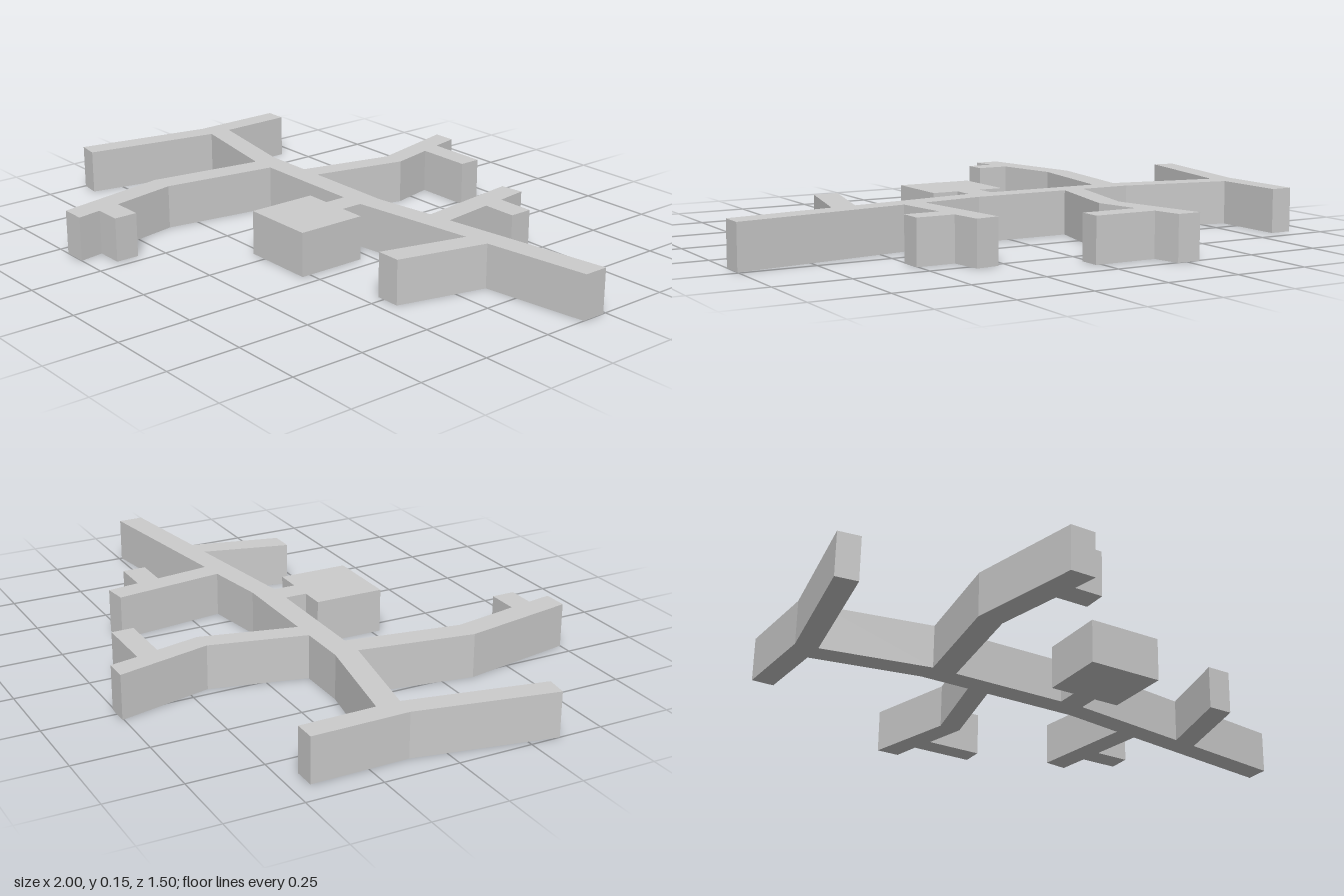
import * as THREE from 'three';

const HEIGHT = 0.15;

// Upright prism over a plan outline of [x, z] corners
function prism(name, outline, material) {
  const shape = new THREE.Shape(outline.map(([x, z]) => new THREE.Vector2(x, z)));
  const geometry = new THREE.ExtrudeGeometry(shape, { depth: HEIGHT, bevelEnabled: false });
  geometry.rotateX(Math.PI / 2);
  geometry.translate(0, HEIGHT, 0);
  const mesh = new THREE.Mesh(geometry, material);
  mesh.name = name;
  return mesh;
}

export function createModel() {
  const group = new THREE.Group();
  group.name = 'branchingCorridors';
  const material = new THREE.MeshStandardMaterial({ color: 0xcccccc, flatShading: true });

  // Parts meet edge to edge, so the tops and bottoms stay flush
  const parts = {
    // Main corridor across the whole width
    mainCorridor: [
      [-0.835, -0.185], [-0.465, -0.115], [0.115, -0.115], [0.33, -0.147], [0.41, -0.157],
      [1, -0.24], [1, -0.155], [0.635, -0.105], [0.55, -0.095], [0.11, -0.035],
      [-0.465, -0.035], [-0.835, -0.105],
    ],
    // Cross corridor at the right end
    endCorridor: [
      [-0.915, -0.44], [-0.84, -0.44], [-0.835, -0.185], [-0.835, -0.105],
      [-0.925, 0.36], [-1, 0.35], [-0.91, -0.115],
    ],
    // Bent corridor to the back, with its side stub
    backCorridor: [
      [-0.29, -0.115], [-0.215, -0.435], [-0.295, -0.755], [-0.215, -0.755],
      [-0.195, -0.66], [-0.175, -0.585], [-0.14, -0.435], [-0.215, -0.115],
    ],
    backStub: [[-0.195, -0.66], [0.02, -0.66], [0.02, -0.585], [-0.175, -0.585]],
    // Short corridor at the back left, with its side stub
    backLeftCorridor: [
      [0.33, -0.147], [0.28, -0.525], [0.36, -0.535], [0.375, -0.425], [0.385, -0.345], [0.41, -0.157],
    ],
    backLeftStub: [[0.375, -0.425], [0.505, -0.425], [0.505, -0.345], [0.385, -0.345]],
    // Slanted corridor at the front left
    frontLeftCorridor: [[0.55, -0.095], [0.635, -0.105], [0.56, 0.2], [0.475, 0.2]],
    // Square room on a short neck
    room: [
      [0.025, -0.035], [0.11, -0.035], [0.11, 0.04], [0.2, 0.04],
      [0.2, 0.28], [-0.06, 0.28], [-0.06, 0.04], [0.025, 0.04],
    ],
    // Bent corridor to the front, with its side stub
    frontCorridor: [
      [-0.465, -0.035], [-0.38, -0.035], [-0.44, 0.355], [-0.395, 0.585],
      [-0.38, 0.665], [-0.365, 0.75], [-0.45, 0.75], [-0.525, 0.355],
    ],
    frontStub: [[-0.395, 0.585], [-0.285, 0.585], [-0.285, 0.665], [-0.38, 0.665]],
  };

  for (const [name, outline] of Object.entries(parts)) group.add(prism(name, outline, material));
  return group;
}
